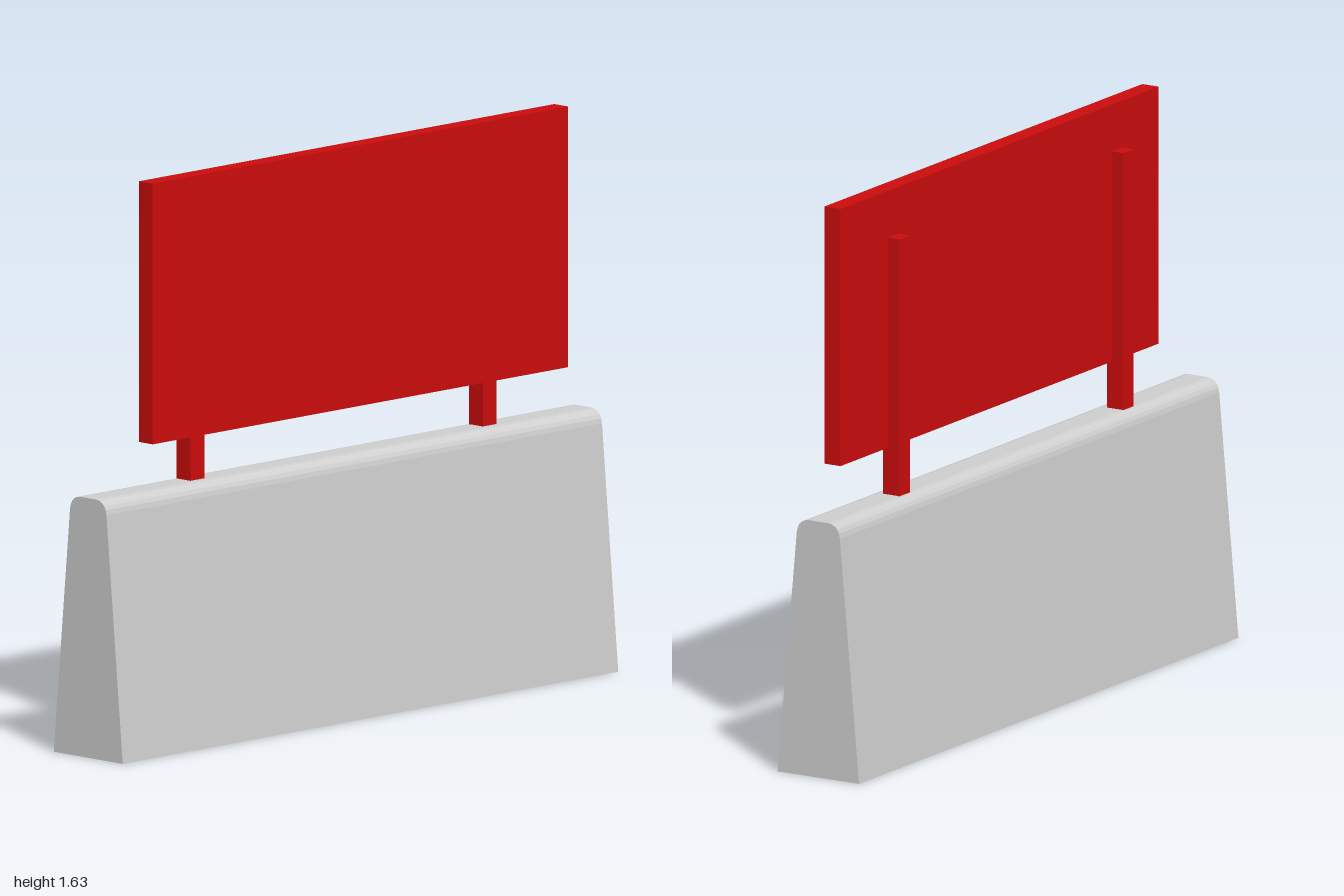
import * as THREE from 'three';

export function createModel() {
  const model = new THREE.Group();
  model.name = 'barrierWithSign';

  const concrete = new THREE.MeshStandardMaterial({ name: 'concrete grey', color: 0xcfcfcf });
  const red = new THREE.MeshStandardMaterial({ name: 'sign red', color: 0xcc0c0c });

  // Box given by its minimum and maximum corners
  function addBox(name, min, max) {
    const size = max.map((v, i) => v - min[i]);
    const mesh = new THREE.Mesh(new THREE.BoxGeometry(...size), red);
    mesh.position.set(...min.map((v, i) => (v + max[i]) / 2));
    mesh.name = name;
    model.add(mesh);
  }

  // Tapered concrete barrier with rounded top edges, running along z
  const profile = new THREE.Shape();
  profile.moveTo(-0.136, 0);
  profile.lineTo(0.136, 0);
  profile.lineTo(0.072, 0.705);
  profile.quadraticCurveTo(0.067, 0.743, 0.032, 0.745);
  profile.lineTo(-0.032, 0.745);
  profile.quadraticCurveTo(-0.067, 0.743, -0.072, 0.705);
  profile.closePath();
  const barrierGeometry = new THREE.ExtrudeGeometry(profile, {
    depth: 2, bevelEnabled: false, curveSegments: 5,
  });
  barrierGeometry.translate(0, 0, -1);
  const barrier = new THREE.Mesh(barrierGeometry, concrete);
  barrier.name = 'barrier';
  model.add(barrier);

  // Sign board, slightly off centre along the barrier
  addBox('signBoard', [0.003, 0.88, -0.878], [0.057, 1.628, 0.798]);

  // Two square posts, partly set into the board
  for (const [name, z] of [['frontPost', 0.578], ['backPost', -0.602]]) {
    addBox(name, [-0.036, 0.74, z - 0.028], [0.018, 1.492, z + 0.028]);
  }

  return model;
}
